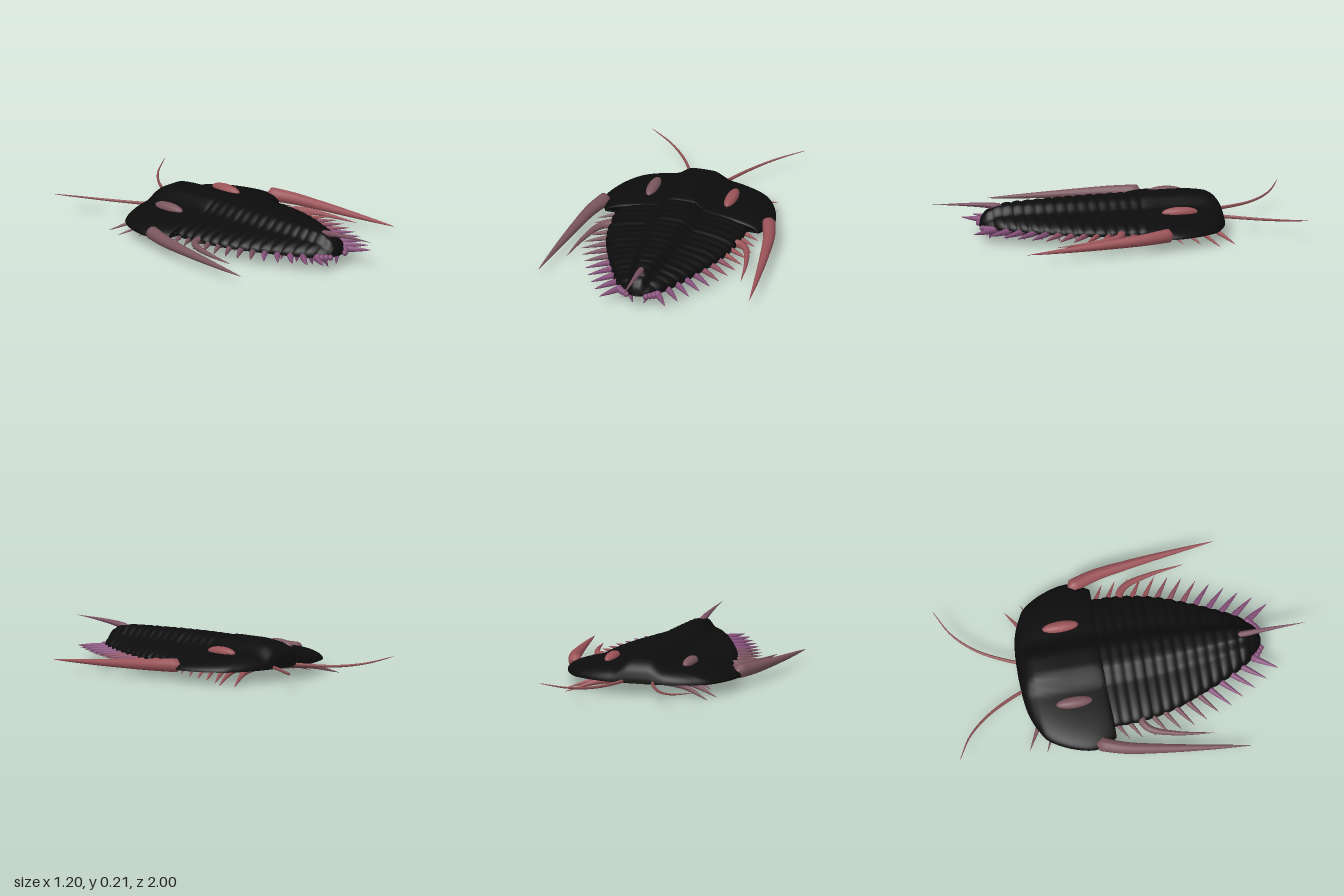
import * as THREE from 'three';

const mat = (name, color, side = THREE.FrontSide) => {
  const m = new THREE.MeshStandardMaterial({ color, side });
  m.name = name;
  return m;
};
const V = (x, y, z) => new THREE.Vector3(x, y, z);
const lerp = THREE.MathUtils.lerp;
const smooth = THREE.MathUtils.smoothstep;

// Surface from rows along z and columns along x
function grid(rows, cols, fn) {
  const pos = [], idx = [];
  for (let i = 0; i <= rows; i++) for (let j = 0; j <= cols; j++) pos.push(...fn(i / rows, j / cols));
  for (let i = 0; i < rows; i++) for (let j = 0; j < cols; j++) {
    const a = i * (cols + 1) + j, b = a + cols + 1;
    idx.push(a, b, a + 1, a + 1, b, b + 1);
  }
  const g = new THREE.BufferGeometry();
  g.setAttribute('position', new THREE.Float32BufferAttribute(pos, 3));
  g.setIndex(idx);
  g.computeVertexNormals();
  return g;
}

// Tapered tube along a smooth curve; radius(t) goes to zero at both ends
function spike(points, radius, segments = 14, sides = 10) {
  const curve = new THREE.CatmullRomCurve3(points);
  const g = new THREE.TubeGeometry(curve, segments, 1, sides);
  const p = g.attributes.position, v = V(0, 0, 0);
  for (let i = 0; i <= segments; i++) {
    const c = curve.getPointAt(i / segments), r = i === 0 ? 0 : radius(i / segments);
    for (let j = 0; j <= sides; j++) {
      const k = i * (sides + 1) + j;
      v.fromBufferAttribute(p, k).sub(c).multiplyScalar(r).add(c);
      p.setXYZ(k, v.x, v.y, v.z);
    }
  }
  g.computeVertexNormals();
  return g;
}
const taper = (r, power = 0.8) => t => r * Math.pow(1 - t, power) + 0.0015 * (1 - t);

export function createModel() {
  const model = new THREE.Group();
  model.name = 'trilobite';
  const shell = mat('black shell', 0x0c0c0d, THREE.DoubleSide);
  const red = mat('left red', 0x9a5358);
  const mauve = mat('right mauve', 0x79555c);
  const midLeft = mat('middle left rose', 0x8f5264);
  const midRight = mat('middle right mauve', 0x7b5263);
  const purple = mat('rear purple', 0x85507a);
  const brownRed = mat('antenna red', 0x8c5052);

  const add = (name, geometry, material, parent = model) => {
    const m = new THREE.Mesh(geometry, material);
    m.name = name;
    parent.add(m);
    return m;
  };

  // Shield: each outline point holds half width, height factor and z
  const base = 0.07;
  function shield(name, outline, rows, lobeWidth, rib) {
    const curve = new THREE.CatmullRomCurve3(outline, false, 'centripetal');
    const pts = curve.getSpacedPoints(rows);
    const top = (u, v) => {
      const p = pts[Math.round(u * rows)], s = -Math.cos(v * Math.PI);
      const r = rib(p.z), w = Math.max(p.x, 0) + r * 0.6;
      const x = s * w;
      const lobe = 1 - smooth(Math.abs(x), lobeWidth(p) * 0.35, lobeWidth(p));
      const h = Math.max(p.y, 0);
      const y = base + h * (0.09 * Math.sqrt(Math.max(0, 1 - s * s)) + 0.05 * lobe + r);
      return [x, y, p.z];
    };
    add(name, grid(rows, 48, top), shell);
    add(name + 'Underside', grid(rows, 2, (u, v) => {
      const [x, , z] = top(u, 1 - v);
      return [x, base, z];
    }), shell);
    return pts;
  }

  // Head with wide cheeks and a vertical back wall
  shield('headShield', [
    V(0.01, 0, -0.6), V(0.12, 0.25, -0.596), V(0.24, 0.6, -0.577), V(0.33, 0.82, -0.54),
    V(0.39, 0.93, -0.5), V(0.45, 1, -0.4), V(0.485, 1, -0.28), V(0.48, 1, -0.22),
    V(0.45, 0.98, -0.16), V(0.44, 0, -0.155),
  ], 70, () => 0.155, () => 0);

  // Ribbed thorax and tail, each rib overlapping the next
  const thorax = shield('thorax', [
    V(0.365, 0.9, -0.2), V(0.362, 0.9, 0), V(0.325, 0.88, 0.2), V(0.25, 0.84, 0.4),
    V(0.155, 0.78, 0.6), V(0.1, 0.66, 0.68), V(0.06, 0.4, 0.72), V(0.005, 0, 0.737),
  ], 150, p => 0.03 + p.x * 0.33, z => {
    const f = (((z + 0.2) / 0.058) % 1 + 1) % 1;
    return z > 0.67 ? 0 : 0.012 * Math.sqrt(Math.sin(Math.PI * Math.min(f, 0.999)));
  });
  const widthAt = z => (thorax.find(p => p.z >= z) || thorax[thorax.length - 1]).x;

  // Tail spine rising over the rear
  add('tailSpine', spike([V(0, 0.168, 0.6), V(0, 0.183, 0.68), V(0, 0.195, 0.82), V(0, 0.203, 1)],
    taper(0.019, 1.1)), midRight);

  for (const s of [1, -1]) {
    const side = new THREE.Group();
    side.name = s > 0 ? 'leftSide' : 'rightSide';
    model.add(side);
    const main = s > 0 ? red : mauve, mid = s > 0 ? midLeft : midRight;
    const P = (x, y, z) => V(s * x, y, z);

    // Long eye on the cheek
    const eye = add('eye', new THREE.SphereGeometry(1, 24, 16), main, side);
    eye.scale.set(0.032, 0.03, 0.1);
    eye.position.set(s * 0.222, 0.151, -0.33);

    // Antenna curving outward and up
    add('antenna', spike([P(0.07, 0.08, -0.54), P(0.1, 0.077, -0.63), P(0.19, 0.078, -0.8),
      P(0.3, 0.095, -0.92), P(0.44, 0.128, -1)], taper(0.009, 0.5), 28, 8), brownRed, side);

    // Large cheek spine
    add('cheekSpine', spike([P(0.455, 0.092, -0.25), P(0.505, 0.086, -0.1), P(0.54, 0.077, 0.1),
      P(0.572, 0.067, 0.34), P(0.6, 0.058, 0.585)], taper(0.037, 0.75), 30, 16), main, side);

    // Hooked thorax spine
    add('thoraxSpine', spike([P(0.3, 0.075, 0.03), P(0.37, 0.077, 0.02), P(0.42, 0.075, 0.06),
      P(0.465, 0.068, 0.2), P(0.495, 0.062, 0.4)], taper(0.023), 24, 10), main, side);

    // Gill branches showing as a fringe of spikes
    for (let i = 0; i < 13; i++) {
      const t = i / 12, z = lerp(-0.14, 0.66, t), w = widthAt(z);
      const reach = lerp(0.09, 0.075, t) + 0.03 * Math.sin(Math.PI * t);
      const tip = P(w + reach, 0.066 + 0.008 * t, z + lerp(0.08, 0.145, t));
      const m = t < 0.35 ? main : t < 0.65 ? mid : purple;
      add('gillBranch', spike([P(w * 0.45, 0.062, z - 0.05), P(w * 0.9, 0.07, z + 0.01), tip],
        u => 0.019 * Math.pow(Math.sin(Math.PI * Math.pow(u, 0.6)), 0.8), 14, 8), m, side);
    }

    // Walking legs: plump hip and tapered limb reaching the ground
    for (let i = 0; i < 15; i++) {
      const t = i / 14;
      const hip = P(lerp(0.085, 0.075, t), 0.062, lerp(-0.42, 0.66, t));
      const tip = P(i === 0 ? 0.41 : i === 1 ? 0.435 : lerp(0.43, 0.03, t), 0.002, lerp(-0.61, 0.69, t));
      const knee = hip.clone().lerp(tip, 0.5).setY(0.05);
      const m = t < 0.4 ? main : t < 0.62 ? mid : purple;
      add('leg', spike([hip, knee, tip], taper(lerp(0.026, 0.02, t), 0.8), 12, 8), m, side);
      const coxa = add('hip', new THREE.SphereGeometry(1, 12, 8), m, side);
      coxa.scale.set(lerp(0.055, 0.03, t), 0.022, 0.024);
      coxa.position.copy(hip);
      coxa.rotation.y = -Math.atan2(tip.z - hip.z, tip.x - hip.x);
    }

    // Beaded last limb beside the tail
    for (let i = 0; i < 4; i++) {
      const bead = add('tailBead', new THREE.SphereGeometry(0.022 - i * 0.002, 12, 8), purple, side);
      bead.position.set(s * (0.11 - i * 0.018), 0.072, 0.685 + i * 0.015);
    }
  }
  return model;
}
